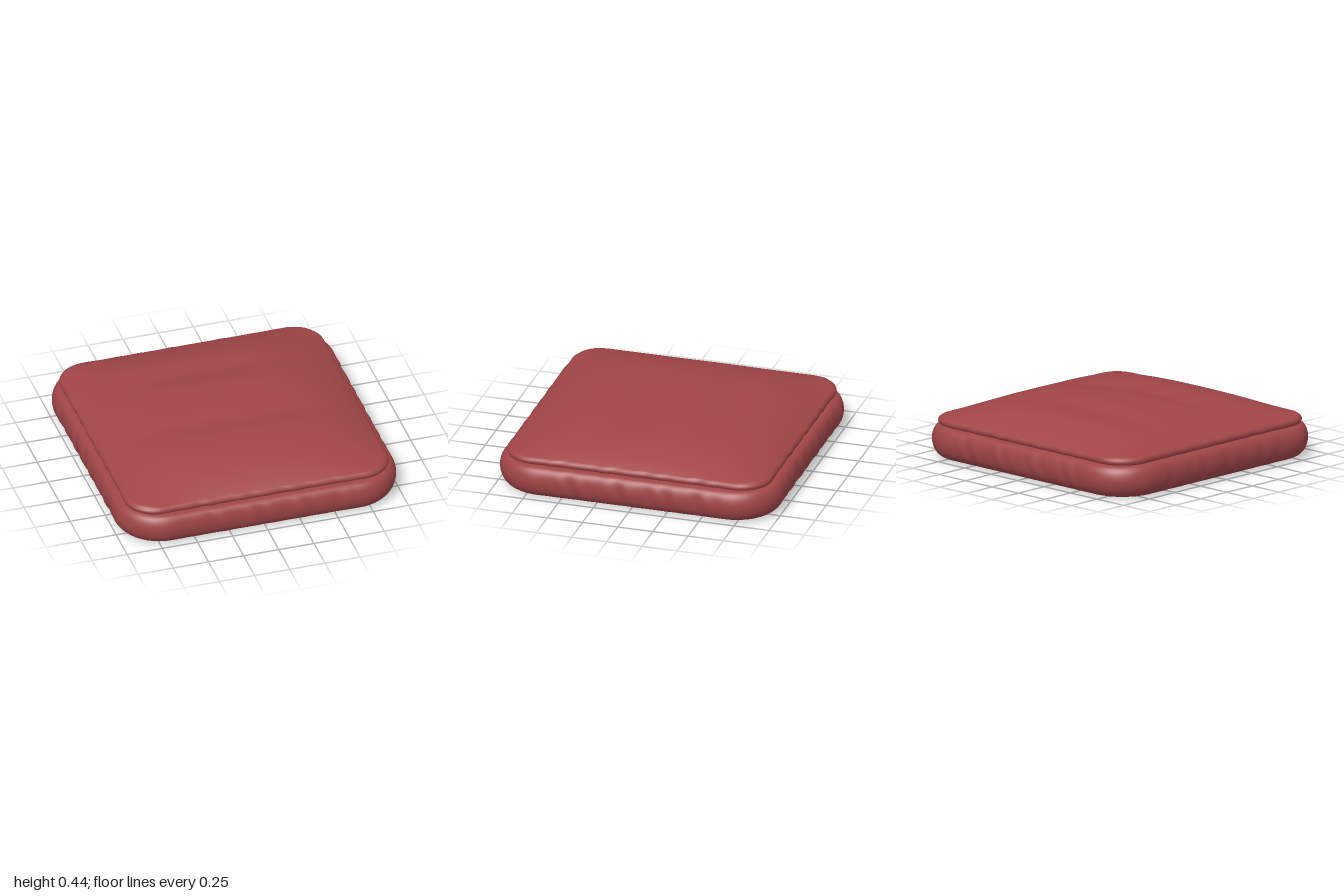
import * as THREE from 'three';

const SIDE = 60, CORNER = 16;

// Rounded square, counter-clockwise from above; s = -1..1 along each straight side
function outline(half, r) {
  const pts = [], c = half - r;
  for (let k = 0; k < 4; k++) {
    const a = k * Math.PI / 2, ca = Math.cos(a), sa = Math.sin(a);
    const add = (p, q, nx, nq, s) => pts.push({
      x: p * ca - q * sa, z: -(p * sa + q * ca),
      nx: nx * ca - nq * sa, nz: -(nx * sa + nq * ca), s, k,
    });
    for (let i = 0; i < SIDE; i++) {
      const s = -1 + 2 * i / SIDE;
      add(half, s * c, 1, 0, s);
    }
    for (let i = 0; i < CORNER; i++) {
      const t = i / CORNER * Math.PI / 2;
      add(c + r * Math.cos(t), c + r * Math.sin(t), Math.cos(t), Math.sin(t), 1);
    }
  }
  return pts;
}

// Skin a stack of closed rings of [x, y, z] points
function skin(rings) {
  const n = rings[0].length, index = [];
  for (let j = 0; j < rings.length - 1; j++) {
    for (let i = 0; i < n; i++) {
      const a = j * n + i, b = j * n + (i + 1) % n;
      index.push(a, b, b + n, a, b + n, a + n);
    }
  }
  const g = new THREE.BufferGeometry();
  g.setAttribute('position', new THREE.Float32BufferAttribute(rings.flat(2), 3));
  g.setIndex(index);
  g.computeVertexNormals();
  return g;
}

// Irregular gathers, fading out towards the corners
function gather(p, y) {
  if (Math.abs(p.s) >= 1) return 0;
  const u = p.s * 0.7 + y * 0.25, k = p.k * 1.7;
  const w = Math.sin(u * 34 + k) + 0.6 * Math.sin(u * 53 + 2 * k + y * 8) + 0.4 * Math.sin(u * 21 - k);
  return (w - 1.4) * 0.0045 * Math.min(1, (1 - p.s * p.s) * 2.5);
}

const blob = (x, z, cx, cz, rx, rz) => Math.exp(-(((x - cx) / rx) ** 2) - ((z - cz) / rz) ** 2);

// Height of the padded top, with soft dents
function topHeight(x, z) {
  const g = (v) => 1 - Math.min(1, Math.abs(v) / 0.915) ** 3.2;
  const dome = g(x) * g(z);
  const dents = 0.028 * blob(x, z, -0.1, 0.22, 0.55, 0.12)
    + 0.014 * blob(x, z, 0.3, 0.1, 0.2, 0.13)
    + 0.022 * blob(x, z, -0.05, -0.4, 0.6, 0.13)
    + 0.012 * blob(x, z, 0.55, 0.2, 0.3, 0.7)
    - 0.006 * blob(x, z, -0.1, -0.2, 0.35, 0.12);
  return 0.277 + 0.156 * dome - dents * Math.min(1, dome * 1.5);
}

export function createModel() {
  const group = new THREE.Group();
  const fabric = new THREE.MeshStandardMaterial({ color: 0xa04548, side: THREE.DoubleSide });
  const addPart = (name, rings) => {
    const mesh = new THREE.Mesh(skin(rings), fabric);
    mesh.name = name;
    group.add(mesh);
  };

  // Gathered side band, open below, with a flange tucked under the top: [inset, y]
  const curve = new THREE.SplineCurve([
    [0.1, 0], [0.05, 0.018], [0.015, 0.06], [0, 0.12],
    [0.008, 0.175], [0.03, 0.212], [0.06, 0.226], [0.1, 0.226],
  ].map(([a, b]) => new THREE.Vector2(a, b)));
  const profile = curve.getPoints(24).map((p) => [p.x, Math.max(0, p.y)]);
  profile.push([0.2, 0.226], [0.3, 0.226]);
  addPart('sideBand', profile.map(([inset, y]) => {
    const amount = inset > 0.1 ? 0 : Math.sin(Math.PI * Math.min(1, Math.max(0, y / 0.226)));
    return outline(1 - inset, Math.max(0.08, 0.33 - inset)).map((p) => {
      const d = gather(p, y) * amount;
      return [p.x + p.nx * d, y, p.z + p.nz * d];
    });
  }));

  // Padded top: rolled lip, then rings shrinking to the centre
  const lip = [[0.915, 0.226], [0.93, 0.233], [0.936, 0.25], [0.932, 0.265], [0.922, 0.274]];
  const rings = lip.map(([half, y]) => outline(half, 0.21).map((p) => {
    const d = gather(p, y) * 0.5;
    return [p.x + p.nx * d, y, p.z + p.nz * d];
  }));
  for (let i = 0; i <= 48; i++) {
    const half = 0.912 * (1 - i / 48) + 0.002;
    rings.push(outline(half, half * 0.22).map((p) => [p.x, topHeight(p.x, p.z), p.z]));
  }
  addPart('paddedTop', rings);

  return group;
}
